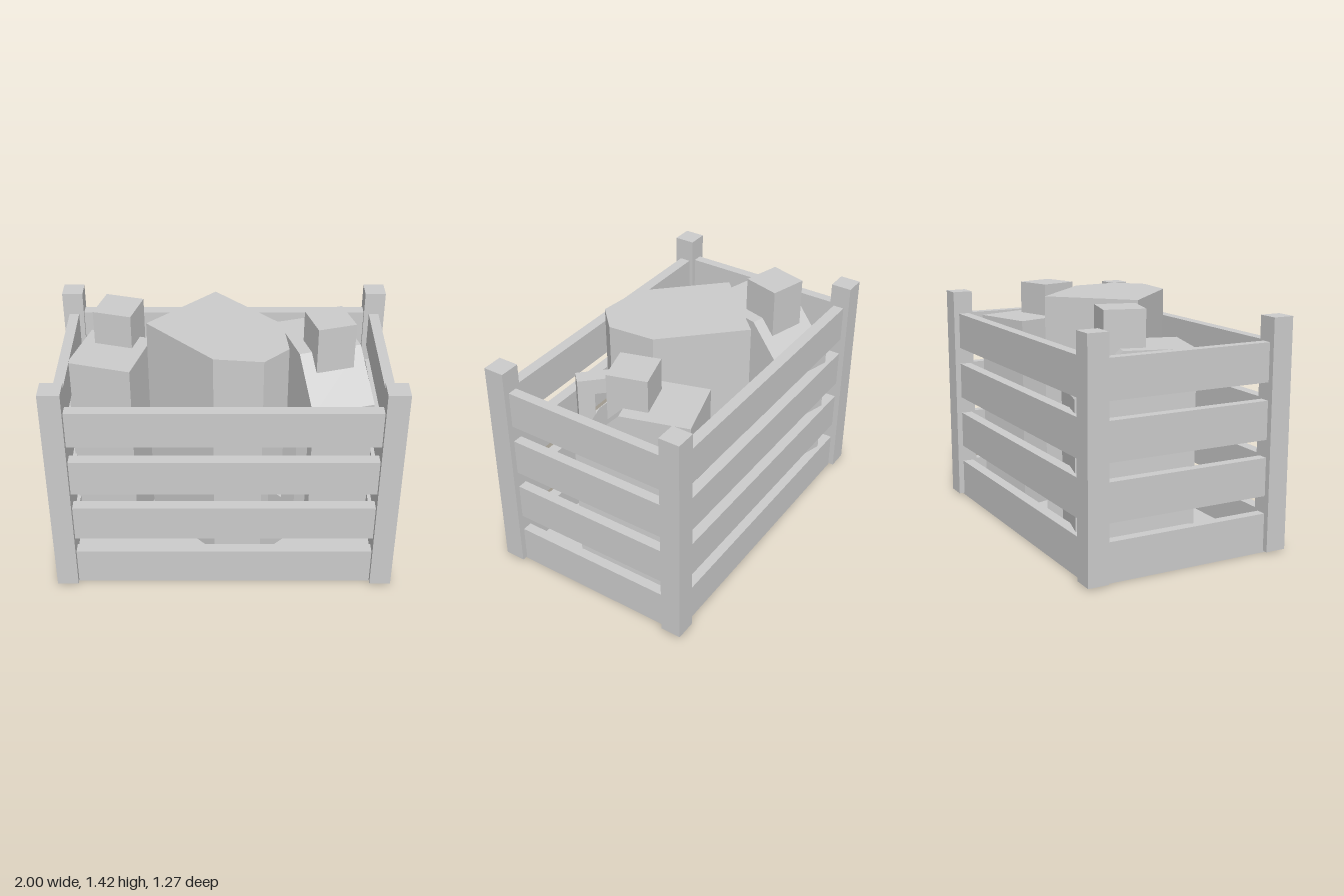
import * as THREE from 'three';

const material = new THREE.MeshStandardMaterial({ color: 0xcccccc, flatShading: true });

function add(parent, name, geometry, x = 0, y = 0, z = 0) {
  const mesh = new THREE.Mesh(geometry, material);
  mesh.name = name;
  mesh.position.set(x, y, z);
  parent.add(mesh);
  return mesh;
}

const box = (w, h, d) => new THREE.BoxGeometry(w, h, d);

function extrude(points, depth) {
  const shape = new THREE.Shape(points.map(([x, y]) => new THREE.Vector2(x, y)));
  return new THREE.ExtrudeGeometry(shape, { depth, bevelEnabled: false });
}

const FLOOR_TOP = 0.04;

// Open crate: floor, corner posts and four rows of slats
function createCrate() {
  const crate = new THREE.Group();
  crate.name = 'crate';
  add(crate, 'floor', box(1.93, FLOOR_TOP, 1.2), 0, FLOOR_TOP / 2, 0);
  for (const sx of [-1, 1]) {
    for (const sz of [-1, 1]) {
      add(crate, 'cornerPost', box(0.125, 1.35, 0.125), sx * 0.9375, 0.685, sz * 0.5725);
    }
  }
  for (let row = 0; row < 4; row++) {
    const y = 0.12 + row * 0.329;
    for (const side of [-1, 1]) {
      add(crate, 'longSlat', box(1.76, 0.225, 0.067), 0, y, side * 0.567);
      add(crate, 'endSlat', box(0.06, 0.225, 1.03), side * 0.935, y, 0);
    }
  }
  return crate;
}

// Carton with one sloped shoulder (towards local +z) and a square cap
function createCarton(name, x, z, turn, top) {
  const carton = new THREE.Group();
  carton.name = name;
  const width = 0.386, half = 0.332;
  const profile = [[-half, FLOOR_TOP], [half, FLOOR_TOP], [half, 0.965], [0.07, top], [-half, top]];
  const body = extrude(profile, width);
  body.translate(0, 0, -width / 2);
  body.rotateY(-Math.PI / 2);
  add(carton, 'cartonBody', body);
  add(carton, 'cartonCap', box(0.234, 0.325, 0.234), 0, 1.2625, 0.044);
  carton.position.set(x, 0, z);
  carton.rotation.y = turn;
  return carton;
}

// Six-sided jug with a square-section handle
function createJug() {
  const jug = new THREE.Group();
  jug.name = 'jug';
  const outline = [[-0.05, -0.42], [-0.45, -0.03], [-0.06, 0.37], [0.22, 0.4], [0.365, 0.26], [0.34, -0.02]];
  const body = extrude(outline.map(([x, z]) => [x, -z]), 1.425 - FLOOR_TOP);
  body.rotateX(-Math.PI / 2);
  add(jug, 'jugBody', body, 0, FLOOR_TOP, 0);

  const loop = [
    [-0.03, 0.41], [0.2, 0.41], [0.2, 1.05], [-0.03, 1.05],
    [-0.03, 0.95], [0.1, 0.95], [0.1, 0.51], [-0.03, 0.51],
  ];
  const handle = extrude(loop, 0.096);
  handle.translate(0, 0, -0.048);
  add(jug, 'jugHandle', handle, 0.3, 0, 0.325).rotation.y = -Math.PI / 4;
  return jug;
}

export function createModel() {
  const model = new THREE.Group();
  model.name = 'crateOfContainers';
  model.add(
    createCrate(),
    createJug(),
    createCarton('leftCarton', 0.61, -0.135, 0.29, 1.228),
    createCarton('rightCarton', -0.64, -0.203, Math.PI - 0.275, 1.215),
  );
  return model;
}
